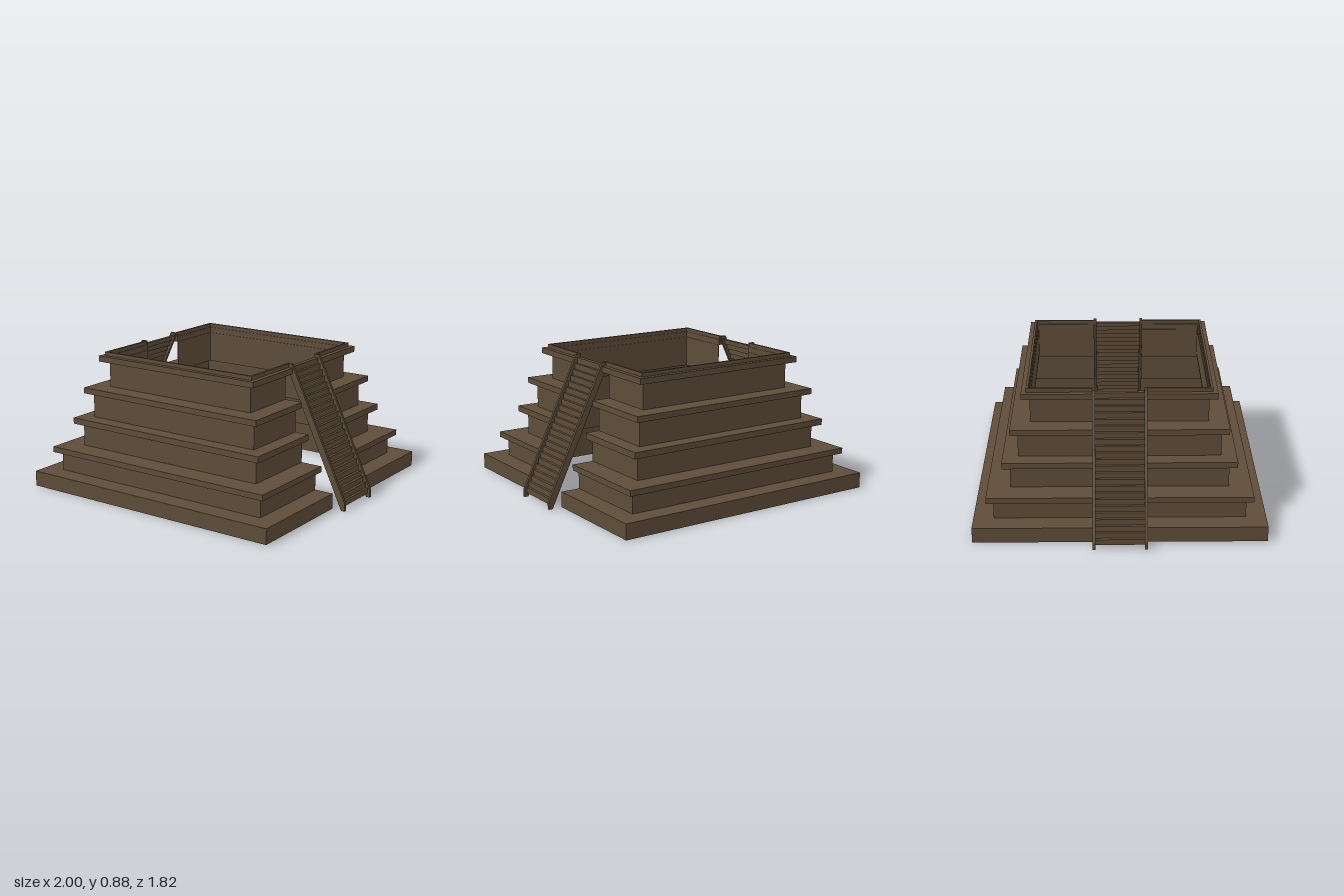
import * as THREE from 'three';

const stone = new THREE.MeshStandardMaterial({ color: 0x5e4d39, side: THREE.DoubleSide });
stone.name = 'brownStone';

const GAP = 0.165; // half width of the stair opening

// Half of a square ring (a U), open at the stair gaps, from y0 to y1
function halfRing(outer, inner, y0, y1) {
  const pts = [
    [-outer, GAP], [-inner, GAP], [-inner, inner], [inner, inner],
    [inner, GAP], [outer, GAP], [outer, outer], [-outer, outer],
  ].map(([x, y]) => new THREE.Vector2(x, y));
  const geo = new THREE.ExtrudeGeometry(new THREE.Shape(pts), { depth: y1 - y0, bevelEnabled: false });
  geo.rotateX(-Math.PI / 2);
  geo.translate(0, y0, 0);
  return geo;
}

function addRing(parent, name, outer, inner, y0, y1) {
  const ring = new THREE.Group();
  ring.name = name;
  const geo = halfRing(outer, inner, y0, y1);
  for (const side of ['back', 'front']) {
    const mesh = new THREE.Mesh(geo, stone);
    mesh.name = side + 'Half';
    if (side === 'front') mesh.rotation.y = Math.PI;
    ring.add(mesh);
  }
  parent.add(ring);
}

// Folded sheet of treads and risers
function stepsGeometry() {
  const count = 23, rise = 0.0365, run = 0.0178, half = 0.155;
  const profile = [[0.985, 0.025]];
  for (let i = 0; i < count; i++) {
    const y = 0.025 + (i + 1) * rise;
    profile.push([0.985 - i * run, y], [i === count - 1 ? 0.565 : 0.985 - (i + 1) * run, y]);
  }
  const pos = [];
  for (let i = 0; i < profile.length - 1; i++) {
    const [ax, ay] = profile[i], [bx, by] = profile[i + 1];
    pos.push(ax, ay, half, ax, ay, -half, bx, by, -half);
    pos.push(ax, ay, half, bx, by, -half, bx, by, half);
  }
  const geo = new THREE.BufferGeometry();
  geo.setAttribute('position', new THREE.Float32BufferAttribute(pos, 3));
  geo.computeVertexNormals();
  return geo;
}

// Sloping side rail of a staircase
function railGeometry() {
  const shape = new THREE.Shape([
    [0.975, 0], [1, 0], [1, 0.05], [0.6, 0.885], [0.565, 0.885], [0.565, 0.86],
  ].map(([x, y]) => new THREE.Vector2(x, y)));
  const geo = new THREE.ExtrudeGeometry(shape, { depth: 0.018, bevelEnabled: false });
  geo.translate(0, 0, -0.009);
  return geo;
}

export function createModel() {
  const model = new THREE.Group();
  model.name = 'steppedPyramid';

  // Ledges: outer and inner half width, bottom, top
  const ledges = [
    ['base', 0.91, 0.78, 0, 0.1],
    ['ledge1', 0.825, 0.68, 0.225, 0.262],
    ['ledge2', 0.727, 0.63, 0.412, 0.452],
    ['ledge3', 0.675, 0.553, 0.614, 0.652],
    ['ledge4', 0.603, 0.553, 0.822, 0.86],
    ['topLip', 0.573, 0.558, 0.86, 0.885],
  ];
  for (const l of ledges) addRing(model, ...l);

  // Thin walls standing between the ledges
  const walls = [
    ['wall1', 0.783, 0.1, 0.225],
    ['wall2', 0.68, 0.262, 0.412],
    ['wall3', 0.63, 0.452, 0.614],
    ['wall4', 0.553, 0.652, 0.822],
  ];
  for (const [name, r, y0, y1] of walls) addRing(model, name, r, r - 0.004, y0, y1);

  // Staircases on both sides
  const steps = stepsGeometry();
  const rail = railGeometry();
  for (const side of ['left', 'right']) {
    const stairs = new THREE.Group();
    stairs.name = side + 'Staircase';
    const flight = new THREE.Mesh(steps, stone);
    flight.name = 'steps';
    stairs.add(flight);
    for (const s of [-1, 1]) {
      const r = new THREE.Mesh(rail, stone);
      r.name = s < 0 ? 'railA' : 'railB';
      r.position.z = s * 0.159;
      stairs.add(r);
    }
    if (side === 'right') stairs.rotation.y = Math.PI;
    model.add(stairs);
  }
  return model;
}
